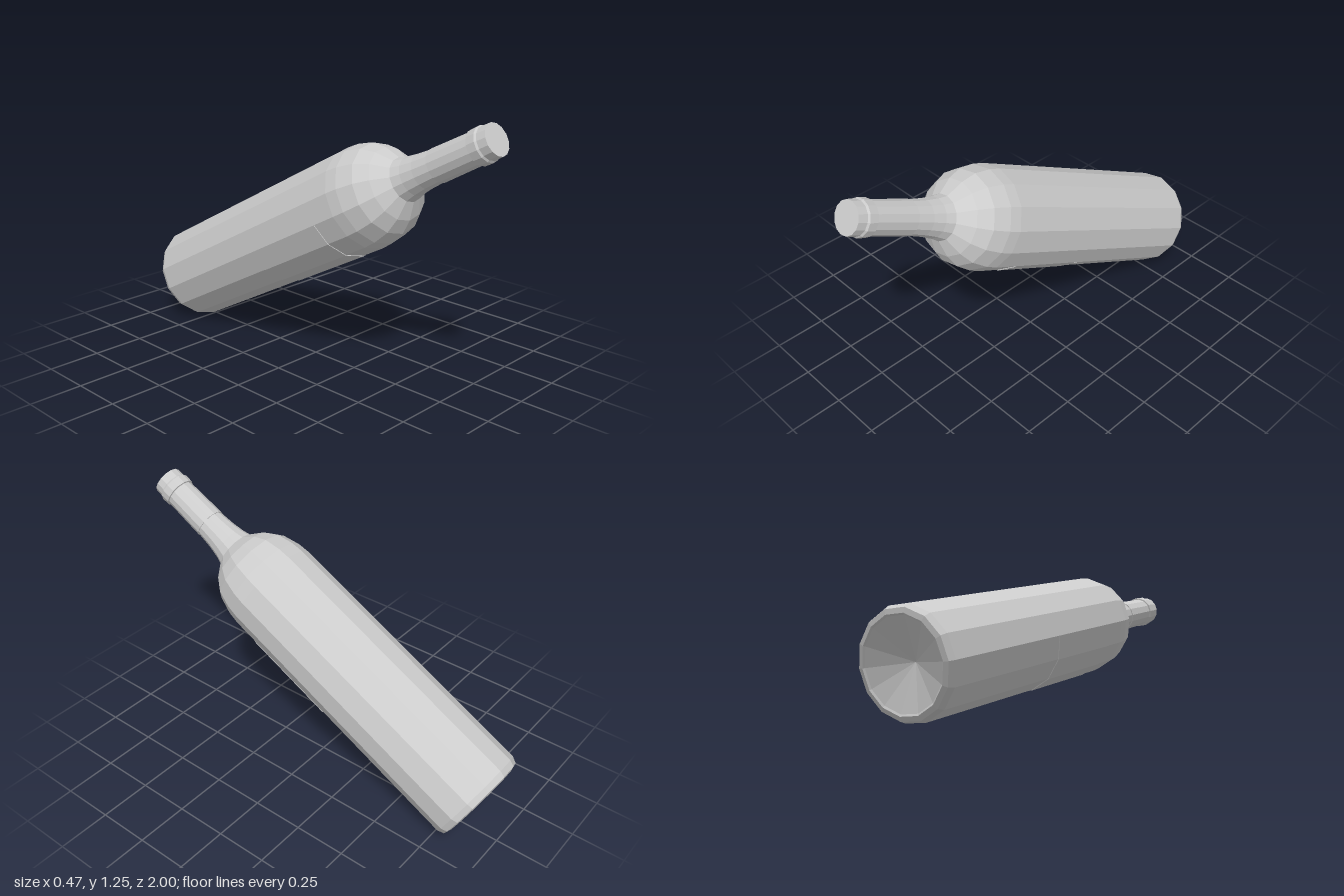
import * as THREE from 'three';

const SIDES = 14;
const STEP = (Math.PI * 2) / SIDES;
const TWIST = THREE.MathUtils.degToRad(-2.5);

// Faceted turned part from [radius, height] pairs; may cover only some facets
function turned(name, profile, firstFacet = 0, facets = SIDES) {
  const points = profile.map(([r, h]) => new THREE.Vector2(r, h));
  const geometry = new THREE.LatheGeometry(points, facets, TWIST + firstFacet * STEP, facets * STEP);
  const material = new THREE.MeshStandardMaterial({
    color: 0xcccccc, flatShading: true, side: THREE.DoubleSide,
  });
  const mesh = new THREE.Mesh(geometry, material);
  mesh.name = name;
  return mesh;
}

export function createModel() {
  const model = new THREE.Group();
  model.name = 'wineBottle';

  const bottle = new THREE.Group();
  bottle.name = 'tiltedBottle';

  // Glass: hollow base, straight body, round shoulder, lower neck
  bottle.add(turned('glassBody', [
    [0, 0.085], [0.194, 0.006], [0.202, 0], [0.224, 0.006], [0.236, 0.035],
    [0.236, 1.36], [0.23, 1.42], [0.208, 1.5], [0.166, 1.56], [0.1, 1.615],
    [0.088, 1.66], [0.079, 1.72], [0.072, 1.81],
  ]));

  // Foil sleeve around the upper neck
  bottle.add(turned('neckFoil', [
    [0.071, 1.8], [0.076, 1.8], [0.071, 2.018],
  ]));

  // Raised ring and closed top
  bottle.add(turned('mouthCap', [
    [0.07, 2.014], [0.078, 2.016], [0.079, 2.058], [0.073, 2.066],
    [0.071, 2.109], [0, 2.109],
  ]));

  // Paper label wrapped over the front facets
  bottle.add(turned('label', [
    [0.235, 0.776], [0.239, 0.776], [0.239, 1.235], [0.235, 1.235],
  ], -3, 5));

  // Lean the bottle forward so it rests on the rim of its base
  bottle.rotation.x = THREE.MathUtils.degToRad(62);
  bottle.position.set(0, 0.198, -0.895);
  model.add(bottle);
  return model;
}
